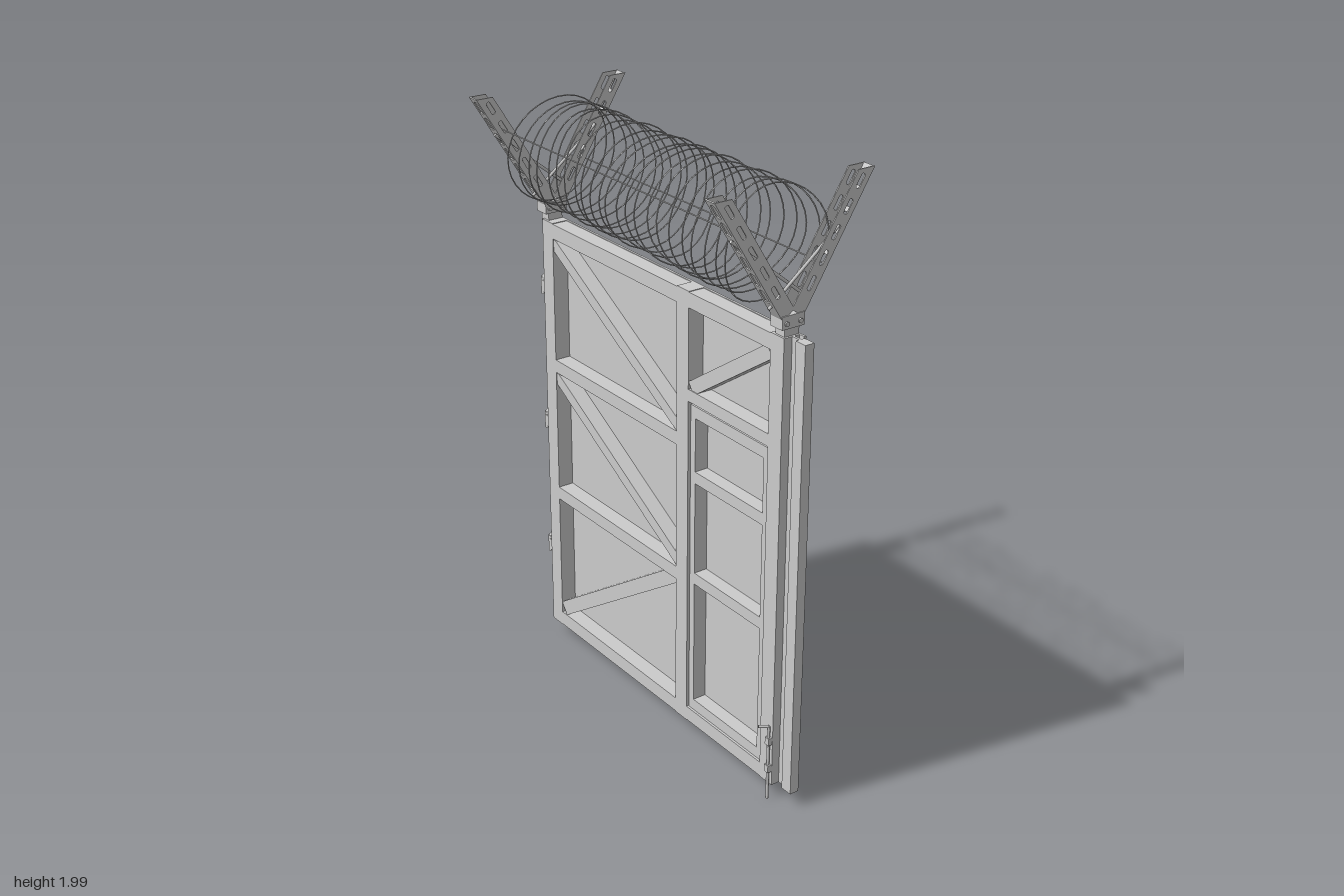
import * as THREE from 'three';

const mat = new THREE.MeshStandardMaterial({ color: 0xcccccc, side: THREE.DoubleSide });
const V = (x, y, z) => new THREE.Vector3(x, y, z);

function add(parent, geometry, name, x = 0, y = 0, z = 0) {
  const m = new THREE.Mesh(geometry, mat);
  m.name = name;
  m.position.set(x, y, z);
  parent.add(m);
  return m;
}

// box given by its limits on each axis
function block(parent, name, x0, x1, y0, y1, z0, z1) {
  return add(parent, new THREE.BoxGeometry(x1 - x0, y1 - y0, z1 - z0), name,
    (x0 + x1) / 2, (y0 + y1) / 2, (z0 + z1) / 2);
}

// round bar between two points
function rod(parent, name, a, b, r) {
  const m = add(parent, new THREE.CylinderGeometry(r, r, a.distanceTo(b), 8), name);
  m.position.copy(a).lerp(b, 0.5);
  m.quaternion.setFromUnitVectors(V(0, 1, 0), b.clone().sub(a).normalize());
  return m;
}

// thin plate along y, pierced by slots; the end may be cut at a slope
function slottedPlate(length, width, slope, slotW, slotL, count) {
  const w = width / 2;
  const s = new THREE.Shape([
    new THREE.Vector2(-w, 0), new THREE.Vector2(w, 0),
    new THREE.Vector2(w, length + w * slope), new THREE.Vector2(-w, length - w * slope)]);
  for (let i = 0; i < count; i++) {
    const y = 0.09 + i * (length - 0.13) / (count - 1);
    const a = slotW / 2, b = slotL / 2, c = a * 0.5;
    s.holes.push(new THREE.Path([
      new THREE.Vector2(-a, y - b + c), new THREE.Vector2(-a, y + b - c), new THREE.Vector2(-a + c, y + b),
      new THREE.Vector2(a - c, y + b), new THREE.Vector2(a, y + b - c), new THREE.Vector2(a, y - b + c),
      new THREE.Vector2(a - c, y - b), new THREE.Vector2(-a + c, y - b)]));
  }
  return new THREE.ExtrudeGeometry(s, { depth: 0.004, bevelEnabled: false });
}

// steel beam in the plane of the gate, from (z0, y0) to (z1, y1)
const BACK = -0.033, FACE = 0.022;
function beam(parent, name, z0, y0, z1, y1, width = 0.05, x0 = BACK) {
  const dz = z1 - z0, dy = y1 - y0;
  const m = add(parent, new THREE.BoxGeometry(FACE - x0, width, Math.hypot(dz, dy)), name,
    (FACE + x0) / 2, (y0 + y1) / 2, (z0 + z1) / 2);
  m.rotation.x = -Math.atan2(dy, dz);
  return m;
}

function gateLeaf() {
  const g = new THREE.Group();
  g.name = 'gateLeaf';

  // cladding sheet, cut out around the door (shape x = -z)
  const s = new THREE.Shape([[-0.635, 0.05], [0.685, 0.05], [0.685, 1.55], [-0.635, 1.55]]
    .map(p => new THREE.Vector2(...p)));
  s.holes.push(new THREE.Path([[-0.6, 0.07], [-0.6, 1.19], [-0.178, 1.19], [-0.178, 0.07]]
    .map(p => new THREE.Vector2(...p))));
  const sheet = add(g, new THREE.ExtrudeGeometry(s, { depth: 0.008, bevelEnabled: false }), 'claddingSheet', FACE);
  sheet.rotation.y = Math.PI / 2;

  // outer frame
  block(g, 'hingePost', BACK, FACE, 0.05, 1.55, -0.63, -0.57);
  block(g, 'middlePost', BACK, FACE, 0.05, 1.55, 0.11, 0.17);
  block(g, 'closingPost', BACK, FACE, 0.05, 1.55, 0.555, 0.615);
  beam(g, 'topRail', -0.57, 1.523, 0.56, 1.523);
  beam(g, 'bottomRail', -0.57, 0.077, 0.56, 0.077);

  // rails and braces of the wide bay
  for (const y of [1.05, 0.575]) beam(g, 'crossRail', -0.57, y, 0.11, y, 0.045);
  beam(g, 'brace', -0.575, 1.48, 0.115, 1.09, 0.04, -0.03);
  beam(g, 'brace', -0.575, 1.01, 0.115, 0.62, 0.04, -0.03);
  beam(g, 'brace', -0.56, 0.12, 0.1, 0.56, 0.05, -0.03);

  // panel above the door
  beam(g, 'lintel', 0.17, 1.215, 0.56, 1.215, 0.04);
  beam(g, 'brace', 0.18, 1.24, 0.55, 1.49, 0.045, -0.03);

  // closing strip with a stepped section
  block(g, 'closingWeb', -0.004, 0.004, 0.05, 1.55, 0.615, 0.66);
  block(g, 'closingTongue', -0.016, 0.016, 0.05, 1.55, 0.645, 0.687);

  // hinges
  for (const y of [0.34, 0.82, 1.31]) {
    add(g, new THREE.CylinderGeometry(0.012, 0.012, 0.06, 12), 'hingeBarrel', -0.015, y, -0.655);
    block(g, 'hingeLeaf', -0.028, -0.006, y - 0.02, y + 0.02, -0.65, -0.63);
    add(g, new THREE.ConeGeometry(0.01, 0.015, 12), 'hingeCap', -0.015, y + 0.037, -0.655);
  }

  // drop bolt with bent handle
  rod(g, 'dropBolt', V(-0.041, 0, 0.605), V(-0.041, 0.265, 0.605), 0.005);
  rod(g, 'dropBoltHandle', V(-0.041, 0.265, 0.605), V(-0.07, 0.268, 0.59), 0.005);
  for (const y of [0.1, 0.2]) block(g, 'boltGuide', -0.048, -0.03, y, y + 0.025, 0.596, 0.614);
  return g;
}

function door() {
  const g = new THREE.Group();
  g.name = 'door';
  block(g, 'doorSheet', FACE, 0.03, 0.072, 1.187, 0.182, 0.597);
  for (const y of [1.165, 0.945, 0.59, 0.12]) beam(g, 'doorRail', 0.19, y, 0.55, y, 0.04, -0.025);
  for (const z of [0.185, 0.54]) block(g, 'doorStile', -0.025, FACE, 0.075, 1.185, z - 0.012, z + 0.012);
  // raised trim
  block(g, 'topTrim', 0.03, 0.036, 1.165, 1.19, 0.18, 0.6);
  block(g, 'bottomTrim', 0.03, 0.036, 0.075, 0.09, 0.18, 0.6);
  block(g, 'sideTrim', 0.03, 0.034, 0.07, 1.19, 0.594, 0.602);
  // door latches
  for (const y of [1.03, 0.345]) {
    block(g, 'latchPlate', 0.03, 0.036, y - 0.012, y + 0.01, 0.165, 0.215);
    rod(g, 'latchPin', V(0.038, y + 0.01, 0.168), V(0.038, y - 0.045, 0.168), 0.007);
    block(g, 'latchLug', 0.03, 0.042, y - 0.04, y - 0.02, 0.16, 0.18);
  }
  return g;
}

// V-shaped wire holder of two slotted channels
function wireHolder(z) {
  const g = new THREE.Group();
  g.name = 'wireHolder';
  g.position.z = z;
  const tilt = 0.555, length = 0.441, width = 0.05, depth = 0.046;
  for (const side of [-1, 1]) {
    const arm = new THREE.Group();
    arm.name = 'arm';
    arm.position.set(side * 0.016, 1.615, 0);
    arm.rotation.z = -side * tilt;
    const flange = slottedPlate(length, width, side * Math.tan(tilt), 0.014, 0.045, 5);
    for (const dz of [-depth / 2, depth / 2 - 0.004]) add(arm, flange, 'armFlange', 0, 0, dz);
    const web = add(arm, slottedPlate(length + 0.014, depth, 0, 0.022, 0.05, 6), 'armWeb', side * 0.023 - 0.002);
    web.rotation.y = Math.PI / 2;
    g.add(arm);
    // crossing stay
    rod(g, 'stay', V(-side * 0.075, 1.64, side * 0.006), V(side * 0.2, 1.86, side * 0.006), 0.005);
  }
  // base socket and clamp
  block(g, 'socket', -0.04, 0.04, 1.575, 1.615, -0.026, 0.026);
  block(g, 'socketStem', -0.026, 0.026, 1.54, 1.58, -0.02, 0.02);
  for (const x of [-0.03, 0.03]) {
    const bolt = add(g, new THREE.CylinderGeometry(0.008, 0.008, 0.062, 6), 'clampBolt', x * 0.8, 1.592, 0);
    bolt.rotation.x = Math.PI / 2;
  }
  return g;
}

// loose wire coil and its two carrying wires
function wireCoil() {
  const g = new THREE.Group();
  g.name = 'wireCoil';
  const turns = 23, points = [];
  for (let i = 0; i <= turns * 14; i++) {
    const u = i / (turns * 14), a = u * turns * 2 * Math.PI;
    const r = 0.172 + 0.005 * Math.sin(a * 0.37);
    const bow = 0.018 * Math.sin(u * 9 + 1), lean = 0.018 * Math.sin(u * 15);
    points.push(V(-0.022 + r * Math.cos(a), 1.805 + r * Math.sin(a),
      0.565 - 1.14 * u + bow * Math.cos(2 * a) + lean * Math.sin(a)));
  }
  const path = new THREE.CatmullRomCurve3(points);
  add(g, new THREE.TubeGeometry(path, turns * 32, 0.0022, 5), 'coil');
  for (const [x, y] of [[-0.185, 1.88], [0.125, 1.73]])
    rod(g, 'carryingWire', V(x, y, -0.62), V(x, y, 0.59), 0.0022);
  return g;
}

export function createModel() {
  const model = new THREE.Group();
  model.name = 'gate';
  model.add(gateLeaf(), door(), wireHolder(0.588), wireHolder(-0.622), wireCoil());
  return model;
}
